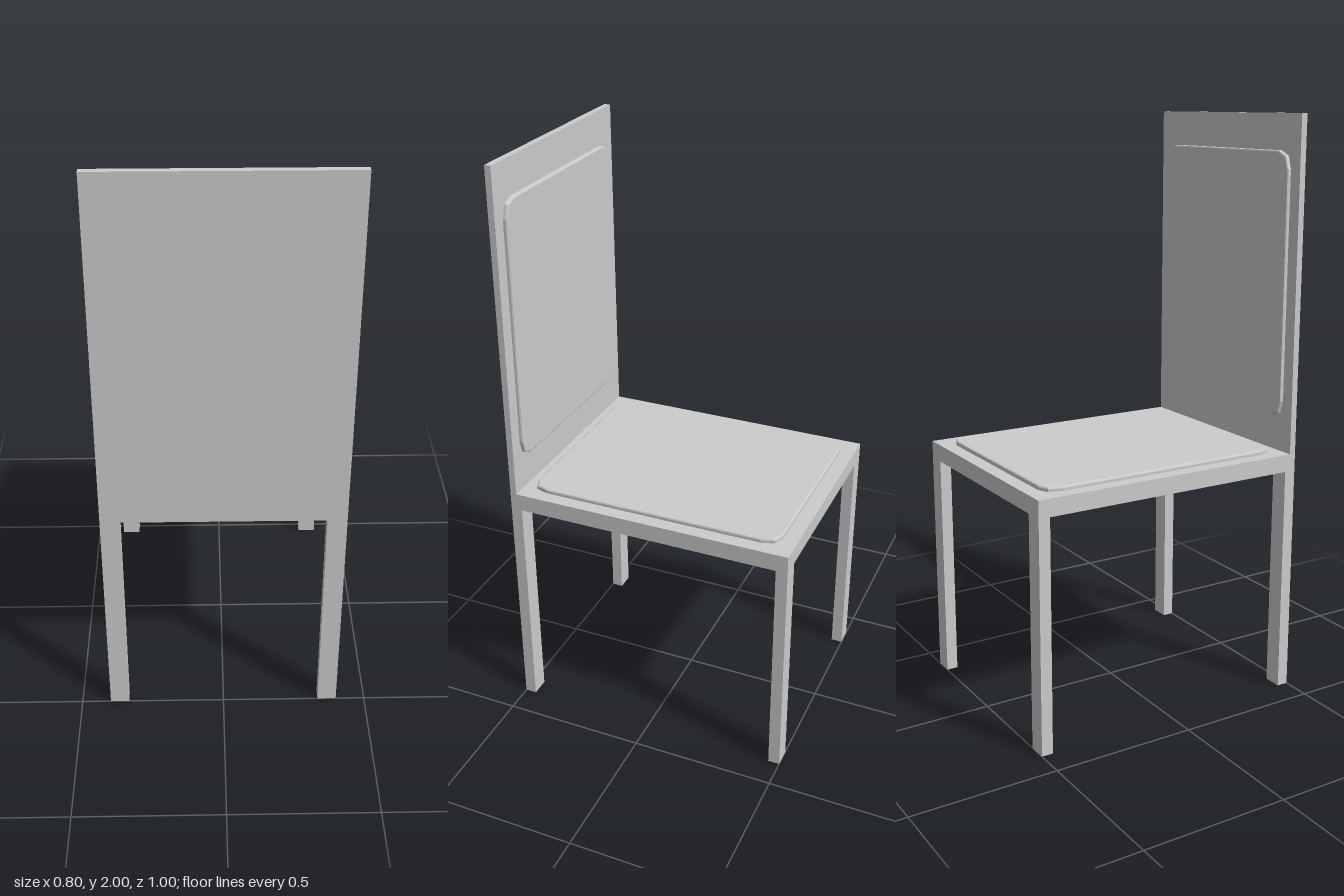
import * as THREE from 'three';

const material = new THREE.MeshStandardMaterial({ color: 0xcccccc, flatShading: true });

function add(group, name, geometry, x, y, z) {
  const mesh = new THREE.Mesh(geometry, material);
  mesh.name = name;
  mesh.position.set(x, y, z);
  group.add(mesh);
  return mesh;
}

// Thin pad with faceted corners and a softened rim; its base lies on z = 0
function padGeometry(width, length, thickness) {
  const bevel = 0.006;
  const w = width / 2 - bevel, l = length / 2 - bevel;
  // One corner as insets from the outline, mirrored into the other three
  const corner = [[0, 0.055], [0.012, 0.015], [0.045, 0]];
  const points = [];
  for (const [sx, sy] of [[1, 1], [-1, 1], [-1, -1], [1, -1]]) {
    const run = corner.map(([dx, dy]) => new THREE.Vector2(sx * (w - dx), sy * (l - dy)));
    if (sx * sy < 0) run.reverse();
    points.push(...run);
  }
  const geometry = new THREE.ExtrudeGeometry(new THREE.Shape(points), {
    depth: thickness - bevel,
    bevelEnabled: true,
    bevelThickness: bevel,
    bevelSize: bevel,
    bevelSegments: 2,
  });
  return geometry;
}

export function createModel() {
  const chair = new THREE.Group();
  chair.name = 'chair';

  // Seat slab and tall thin backrest
  add(chair, 'seat', new THREE.BoxGeometry(0.8, 0.06, 1), 0, 0.83, 0);
  add(chair, 'backrest', new THREE.BoxGeometry(0.8, 1.14, 0.022), 0, 1.43, 0.489);

  // Four corner legs
  const leg = new THREE.BoxGeometry(0.065, 0.8, 0.04);
  for (const sx of [-1, 1]) {
    for (const sz of [-1, 1]) {
      const name = (sx > 0 ? 'left' : 'right') + (sz > 0 ? 'BackrestLeg' : 'SeatEdgeLeg');
      add(chair, name, leg, sx * 0.3675, 0.4, sz * 0.48);
    }
  }

  // Cushions on the seat and on the inner face of the backrest
  const seatPad = add(chair, 'seatCushion', padGeometry(0.706, 0.895, 0.015), 0, 0.86, -0.0025);
  seatPad.rotation.x = -Math.PI / 2;
  const backPad = add(chair, 'backCushion', padGeometry(0.706, 0.9, 0.014), 0, 1.43, 0.478);
  backPad.rotation.y = Math.PI;

  return chair;
}
